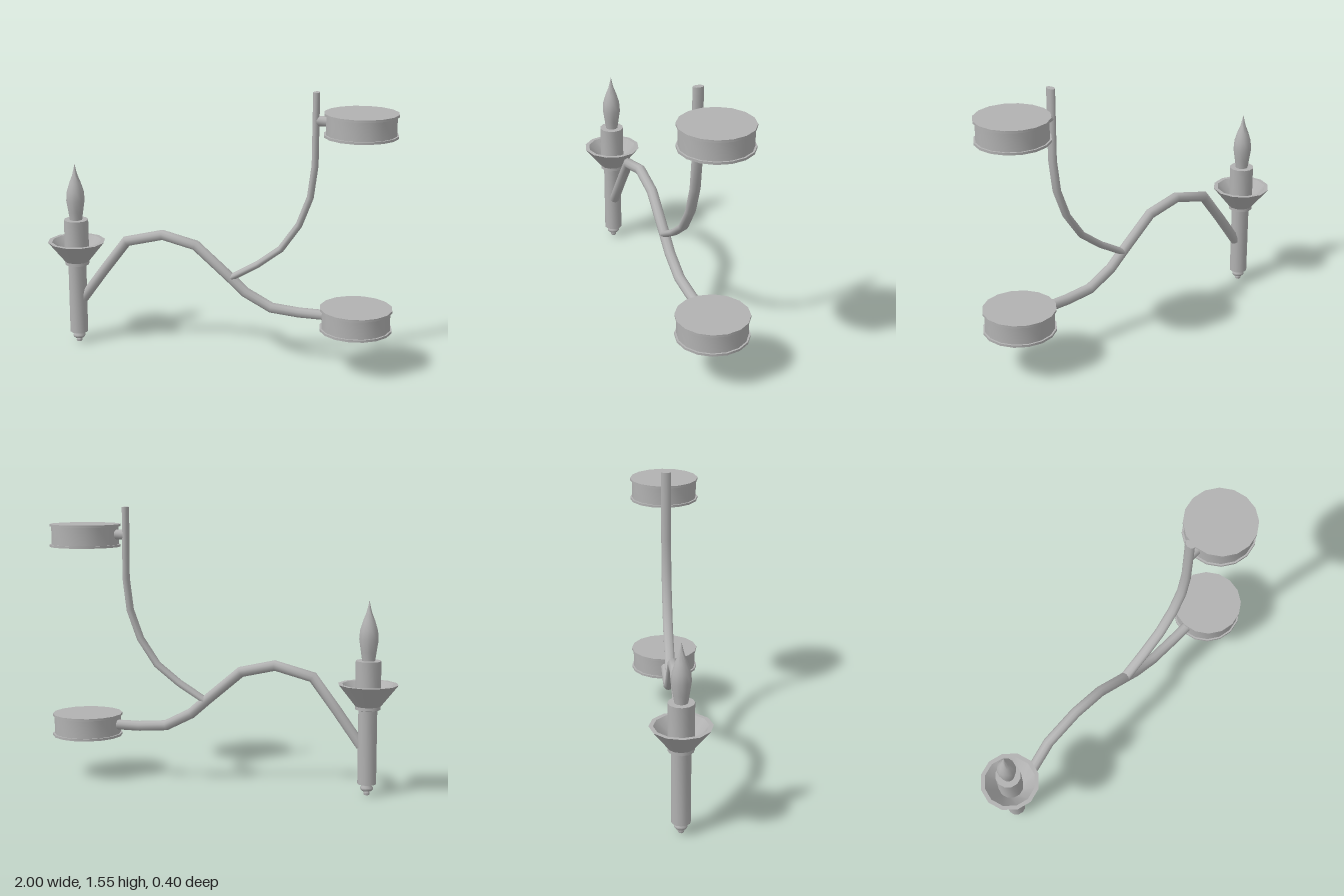
import * as THREE from 'three';
import { toCreasedNormals } from 'three/addons/utils/BufferGeometryUtils.js';

const metal = new THREE.MeshStandardMaterial({ color: 0xb2b2b2 });
metal.name = 'grey metal';

function part(name, geometry, x = 0, y = 0) {
  const mesh = new THREE.Mesh(toCreasedNormals(geometry, 0.9), metal);
  mesh.name = name;
  mesh.position.set(x, y, 0);
  return mesh;
}

// Turned part from [radius, height] pairs, listed bottom to top
function turned(name, profile, sides, x, y = 0) {
  const points = profile.map(([r, h]) => new THREE.Vector2(r, h));
  return part(name, new THREE.LatheGeometry(points, sides), x, y);
}

// Mitred elliptical bar along a polyline in the xy plane
function bar(name, path, radius, depth, sides = 10) {
  const pts = path.map(([x, y]) => new THREE.Vector2(x, y));
  const last = pts.length - 1;
  const pos = [], idx = [];
  pts.forEach((p, i) => {
    const before = p.clone().sub(pts[Math.max(i - 1, 0)]).normalize();
    const after = pts[Math.min(i + 1, last)].clone().sub(p).normalize();
    const t = before.clone().add(after).normalize();
    const r = radius / t.dot(i < last ? after : before);
    for (let j = 0; j < sides; j++) {
      const a = (j / sides) * Math.PI * 2;
      const n = Math.cos(a) * r;
      pos.push(p.x - t.y * n, p.y + t.x * n, Math.sin(a) * depth);
    }
  });
  for (let j = 0; j < sides; j++) {
    const k = (j + 1) % sides;
    for (let i = 0; i < last; i++) {
      const a = i * sides + j, b = i * sides + k;
      idx.push(a, b, b + sides, a, b + sides, a + sides);
    }
    // End caps
    if (j > 0 && j < sides - 1) {
      const e = last * sides;
      idx.push(0, k, j, e, e + j, e + k);
    }
  }
  const g = new THREE.BufferGeometry();
  g.setAttribute('position', new THREE.Float32BufferAttribute(pos, 3));
  g.setIndex(idx);
  return part(name, g);
}

export function createModel() {
  const model = new THREE.Group();
  model.name = 'candleWallLamp';
  const cx = -0.835;

  // Candle holder
  const candle = new THREE.Group();
  candle.name = 'candleHolder';
  candle.add(
    turned('finial', [[0, 0], [0.015, 0], [0.018, 0.008], [0.015, 0.018], [0.012, 0.022],
      [0.028, 0.024], [0.035, 0.033], [0.035, 0.042], [0.026, 0.052], [0.026, 0.062]], 12, cx),
    turned('stem', [[0, 0.062], [0.052, 0.062], [0.052, 0.475], [0, 0.475]], 12, cx),
    turned('dripCup', [[0, 0.47], [0.052, 0.47], [0.165, 0.612], [0.142, 0.612],
      [0.07, 0.52], [0, 0.52]], 12, cx),
    turned('candleTube', [[0, 0.475], [0.07, 0.475], [0.07, 0.74], [0, 0.74]], 12, cx),
    turned('flameBulb', [[0, 0.735], [0.035, 0.735], [0.043, 0.79], [0.053, 0.855], [0.049, 0.905],
      [0.032, 0.96], [0.016, 1.0], [0.007, 1.035], [0, 1.068]], 12, cx),
  );
  model.add(candle);

  // Curved arms
  model.add(
    bar('lowerArm', [[-0.8, 0.27], [-0.67, 0.45], [-0.53, 0.635], [-0.315, 0.69], [-0.12, 0.645],
      [0.08, 0.475], [0.17, 0.395], [0.32, 0.318], [0.48, 0.305], [0.64, 0.305]], 0.029, 0.03),
    bar('upperArm', [[0.09, 0.475], [0.24, 0.565], [0.37, 0.665], [0.47, 0.81], [0.53, 0.97],
      [0.553, 1.15], [0.553, 1.548]], 0.019, 0.03),
    bar('connector', [[0.555, 1.393], [0.64, 1.393]], 0.028, 0.028),
  );

  // Wall drums with thin flanges
  [['lowerDrum', 0.236], ['upperDrum', 1.322]].forEach(([name, y]) => {
    model.add(turned(name, [[0, 0], [0.2, 0], [0.2, 0.013], [0.19, 0.013], [0.19, 0.115],
      [0.2, 0.115], [0.2, 0.128], [0, 0.128]], 16, 0.798, y));
  });

  return model;
}
